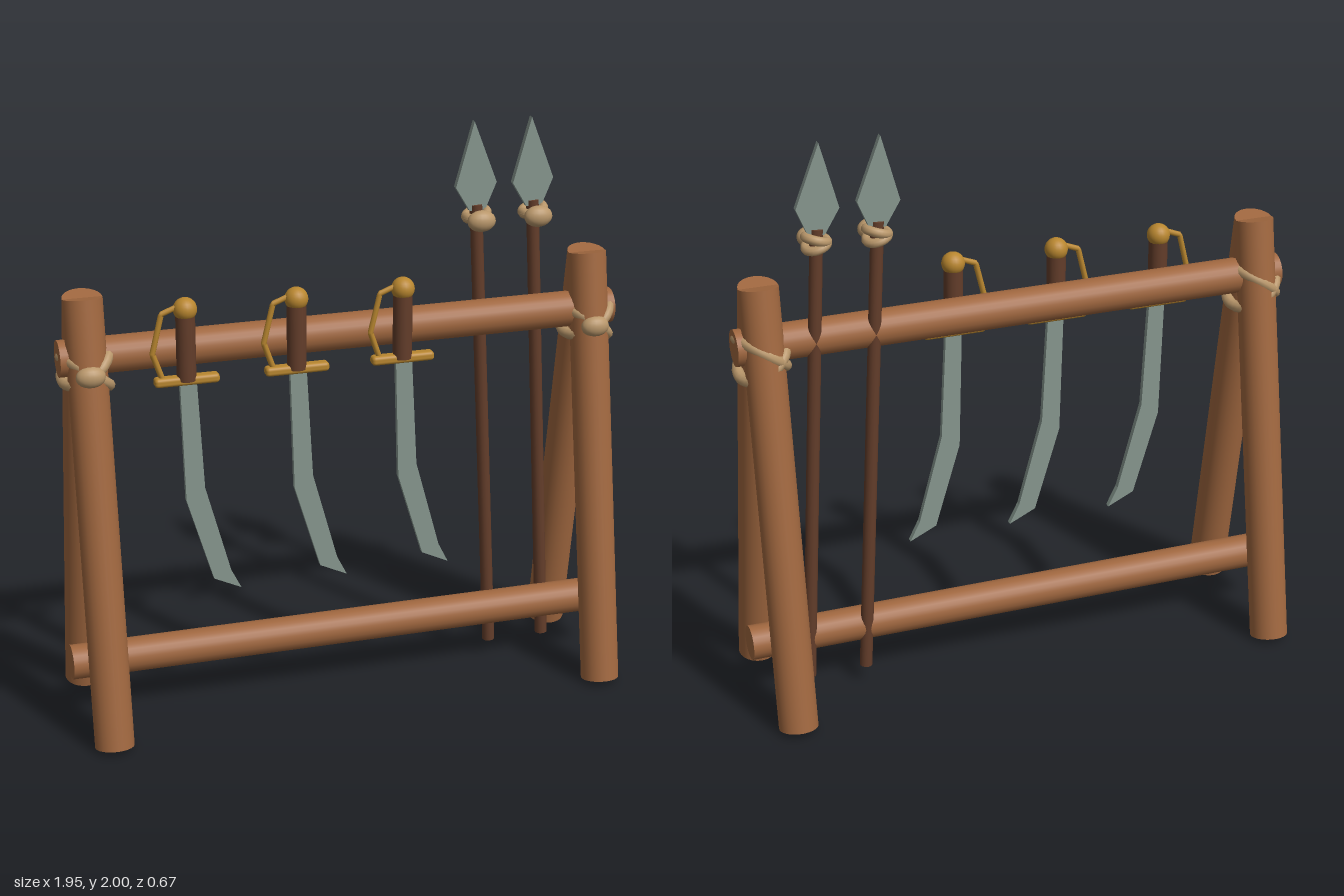
import * as THREE from 'three';
import { RoundedBoxGeometry } from 'three/addons/geometries/RoundedBoxGeometry.js';

const mat = (name, color) => Object.assign(new THREE.MeshStandardMaterial({ color }), { name });

export function createModel() {
  const wood = mat('wood', 0xa0673f);
  const darkWood = mat('dark wood', 0x633d2a);
  const steel = mat('steel', 0x87978f);
  const brass = mat('brass', 0xb8862f);
  const rope = mat('rope', 0xb8966a);

  const root = new THREE.Group();
  root.name = 'weaponRack';

  const add = (parent, name, geometry, material, x = 0, y = 0, z = 0) => {
    const mesh = new THREE.Mesh(geometry, material);
    mesh.name = name;
    mesh.position.set(x, y, z);
    parent.add(mesh);
    return mesh;
  };

  // Round pole between two points
  const pole = (parent, name, a, b, radius, material, sides = 24) => {
    const from = new THREE.Vector3(...a), to = new THREE.Vector3(...b);
    const dir = to.clone().sub(from);
    const mesh = add(parent, name, new THREE.CylinderGeometry(radius, radius, dir.length(), sides), material);
    mesh.position.copy(from).add(to).multiplyScalar(0.5);
    mesh.quaternion.setFromUnitVectors(new THREE.Vector3(0, 1, 0), dir.normalize());
    return mesh;
  };

  // Flat plate cut from an outline, centred on its thickness
  const plate = (parent, name, points, depth, material, z) => {
    const shape = new THREE.Shape(points.map(([x, y]) => new THREE.Vector2(x, y)));
    const geometry = new THREE.ExtrudeGeometry(shape, { depth, bevelEnabled: false });
    geometry.translate(0, 0, -depth / 2);
    return add(parent, name, geometry, material, 0, 0, z);
  };

  // Crossed rope rings with a knot in front
  const lashing = (name, x, y, z, radius, tube, tilt, knotZ) => {
    const group = new THREE.Group();
    group.name = name;
    group.position.set(x, y, z);
    for (const side of [-1, 1]) {
      const ring = new THREE.TorusGeometry(radius, tube, 10, 28);
      ring.rotateX(Math.PI / 2);
      add(group, 'ropeRing', ring, rope, 0, side * tube * 0.6, 0).rotation.set(side * tilt * 0.4, 0, side * tilt);
    }
    add(group, 'knot', new THREE.SphereGeometry(1, 18, 12), rope, 0, 0, knotZ).scale.set(0.05, 0.037, 0.032);
    root.add(group);
  };

  // A-frame legs and their lashings
  for (const x of [-0.88, 0.88]) {
    for (const side of [-1, 1])
      pole(root, side > 0 ? 'frontLeg' : 'backLeg', [x, 0.014, side * 0.27], [x, 1.52, 0], 0.067, wood);
    lashing('legLashing', x, 1.28, 0, 0.092, 0.02, 0.62, 0.1);
  }

  // Cross beams
  pole(root, 'upperBeam', [-0.97, 1.318, 0], [0.97, 1.318, 0], 0.062, wood);
  pole(root, 'lowerBeam', [-0.97, 0.21, 0], [0.97, 0.21, 0], 0.06, wood);

  // Swords hung on the front of the upper beam
  for (const x of [-0.557, -0.18, 0.19]) {
    const sword = new THREE.Group();
    sword.name = 'sword';
    sword.position.set(x, 0, 0.078);
    root.add(sword);
    pole(sword, 'grip', [0, 1.23, 0], [0, 1.46, 0], 0.033, darkWood, 16);
    add(sword, 'pommel', new THREE.SphereGeometry(0.04, 20, 14), brass, 0, 1.475, 0);
    add(sword, 'crossGuard', new RoundedBoxGeometry(0.22, 0.032, 0.042, 3, 0.012), brass, 0, 1.23, 0);
    const bow = [[-0.02, 1.488], [-0.08, 1.465], [-0.113, 1.33], [-0.08, 1.235]];
    const path = new THREE.CurvePath();
    for (let i = 0; i < bow.length - 1; i++)
      path.add(new THREE.LineCurve3(new THREE.Vector3(...bow[i], 0), new THREE.Vector3(...bow[i + 1], 0)));
    add(sword, 'handGuard', new THREE.TubeGeometry(path, 48, 0.01, 8), brass);
    plate(sword, 'blade', [[-0.025, 1.225], [-0.013, 0.8], [0.077, 0.5], [0.172, 0.455],
      [0.137, 0.525], [0.052, 0.84], [0.032, 1.225]], 0.02, steel, 0);
  }

  // Spears leaning behind the upper beam
  for (const dx of [0, 0.204]) {
    pole(root, 'spearShaft', [0.569 + dx, 0.062, -0.04], [0.486 + dx, 1.71, -0.04], 0.022, darkWood, 14);
    plate(root, 'spearHead', [[0.472 + dx, 2], [0.41 + dx, 1.775], [0.461 + dx, 1.69],
      [0.515 + dx, 1.69], [0.555 + dx, 1.785]], 0.022, steel, -0.04);
    lashing('spearLashing', 0.488 + dx, 1.665, -0.04, 0.037, 0.016, 0.3, 0.054);
  }

  return root;
}
